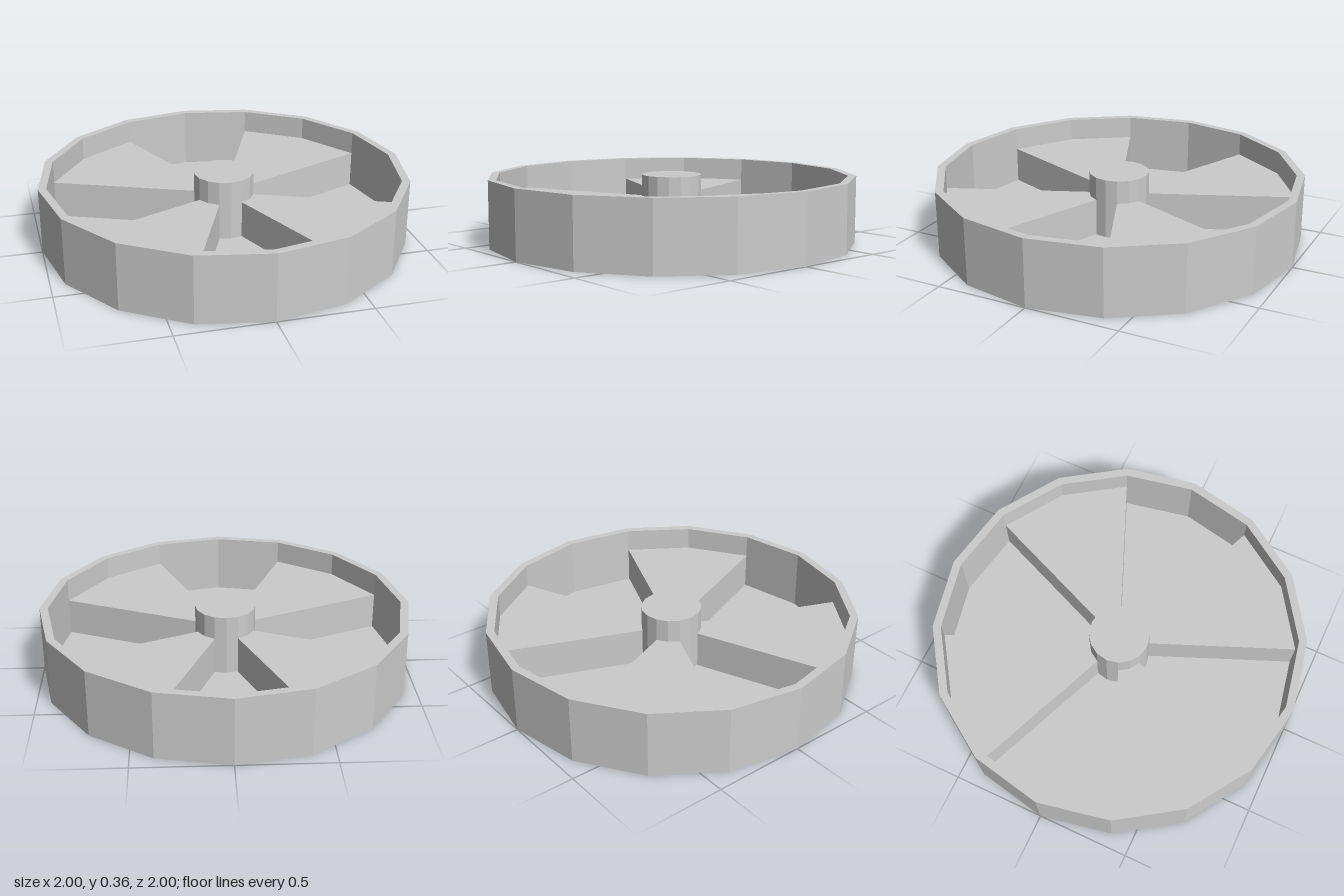
import * as THREE from 'three';

const SIDES = 16;
const STEP = (Math.PI * 2) / SIDES;
const HEIGHT = 0.364;
const OUTER = 1, INNER = 0.956, HUB = 0.163;
const FLOOR = 0.035, WEDGE_TOP = 0.237;

export function createModel() {
  const group = new THREE.Group();
  const material = new THREE.MeshStandardMaterial({ color: 0xcccccc, flatShading: true });

  const add = (name, geometry) => {
    const mesh = new THREE.Mesh(geometry, material);
    mesh.name = name;
    group.add(mesh);
    return mesh;
  };

  // Open tray: underside, outer wall, rim top, inner wall and floor in one profile
  const profile = [
    [0, 0], [OUTER, 0], [OUTER, HEIGHT], [INNER, HEIGHT], [INNER, FLOOR], [0, FLOOR],
  ].map(([r, y]) => new THREE.Vector2(r, y));
  add('tray', new THREE.LatheGeometry(profile, SIDES));

  // Central hub, level with the rim
  const hub = new THREE.CylinderGeometry(HUB, HUB, HEIGHT - FLOOR, SIDES);
  add('hub', hub).position.y = (HEIGHT + FLOOR) / 2;

  // Raised wedge covering two sides of the tray, from hub to wall
  const polar = (r, a) => new THREE.Vector2(r * Math.cos(a), r * Math.sin(a));
  const wedgeShape = new THREE.Shape([
    polar(HUB, -STEP), polar(INNER, -STEP), polar(INNER, 0),
    polar(INNER, STEP), polar(HUB, STEP), polar(HUB, 0),
  ]);
  const wedge = new THREE.ExtrudeGeometry(wedgeShape, { depth: WEDGE_TOP - FLOOR, bevelEnabled: false });
  wedge.rotateX(-Math.PI / 2).translate(0, FLOOR, 0);

  // Four wedges on the diagonals
  for (let i = 0; i < 4; i++) {
    add(`raisedWedge${i + 1}`, wedge).rotation.y = Math.PI / 4 + (i * Math.PI) / 2;
  }

  return group;
}
